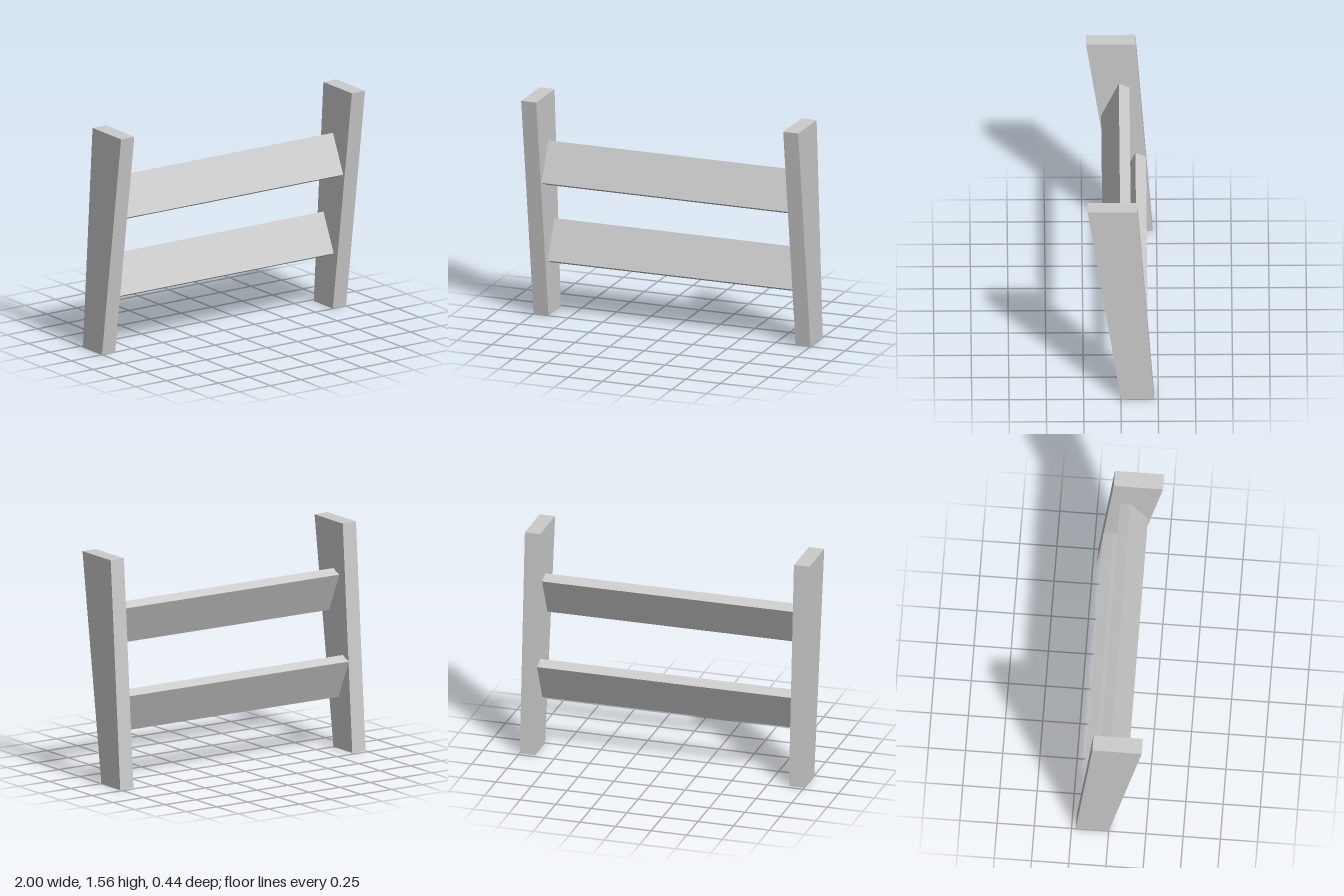
import * as THREE from 'three';

export function createModel() {
  const group = new THREE.Group();
  const material = new THREE.MeshStandardMaterial({ color: 0xcccccc, flatShading: true });

  // Side posts: a leaning, upward-widening profile (z, y) given thickness along x
  const postWidth = 0.108;
  const profile = new THREE.Shape([
    [0, 0], [0.222, 1.558], [-0.11, 1.558], [-0.222, 0],
  ].map(([z, y]) => new THREE.Vector2(-z, y)));
  const postGeometry = new THREE.ExtrudeGeometry(profile, { depth: postWidth, bevelEnabled: false });
  postGeometry.translate(0, 0, -postWidth / 2);
  postGeometry.rotateY(Math.PI / 2); // profile x becomes -z, depth becomes x

  for (const [name, side] of [['leftPost', 1], ['rightPost', -1]]) {
    const post = new THREE.Mesh(postGeometry, material);
    post.name = name;
    post.position.x = side * (1 - postWidth / 2);
    group.add(post);
  }

  // Tilted boards spanning the posts, top edges leaning back
  const boardGeometry = new THREE.BoxGeometry(2 - 2 * postWidth, 0.29, 0.078);
  for (const [name, y, z] of [['lowerBoard', 0.505, -0.085], ['upperBoard', 1.082, 0.026]]) {
    const board = new THREE.Mesh(boardGeometry, material);
    board.name = name;
    board.position.set(0, y, z);
    board.rotation.x = -0.42;
    group.add(board);
  }

  return group;
}
